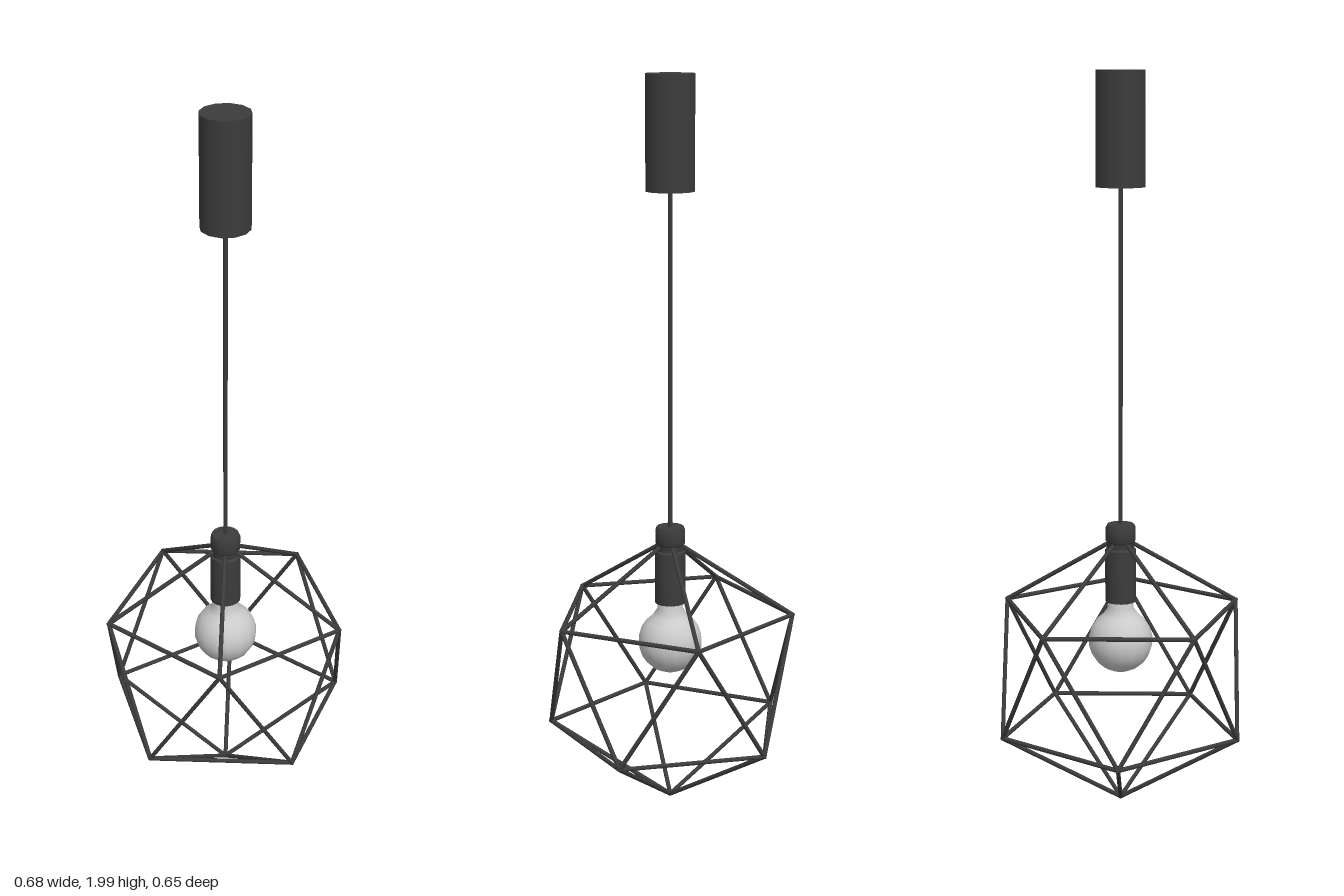
import * as THREE from 'three';
import { toCreasedNormals } from 'three/addons/utils/BufferGeometryUtils.js';

export function createModel() {
  const root = new THREE.Group();
  root.name = 'pendantLamp';
  const black = new THREE.MeshStandardMaterial({ color: 0x3c3c3c });
  const grey = new THREE.MeshStandardMaterial({ color: 0xcccccc });

  const add = (parent, name, geometry, material) => {
    const mesh = new THREE.Mesh(geometry, material);
    mesh.name = name;
    parent.add(mesh);
    return mesh;
  };
  const lathe = (points, sides) => toCreasedNormals(
    new THREE.LatheGeometry(points.map(([r, y]) => new THREE.Vector2(r, y)), sides), 0.7);

  // Ceiling canopy
  add(root, 'canopy', new THREE.CylinderGeometry(0.066, 0.066, 0.3, 12), black).position.y = 1.85;

  // Hanging cable
  add(root, 'cable', new THREE.CylinderGeometry(0.006, 0.006, 1.22, 8), black).position.y = 1.39;

  // Lamp socket with a groove below its cap
  add(root, 'socket', lathe([
    [0, 0.58], [0.042, 0.58], [0.042, 0.725], [0.037, 0.73], [0.037, 0.745],
    [0.041, 0.75], [0.041, 0.785], [0.037, 0.795], [0, 0.795],
  ], 16), black);

  // Globe bulb: round bottom, neck running up into the socket
  const bulbProfile = [];
  for (let i = 0; i <= 9; i++) {
    const a = (i / 9) * 2.55;
    bulbProfile.push([0.088 * Math.sin(a), 0.468 - 0.088 * Math.cos(a)]);
  }
  bulbProfile.push([0.036, 0.56], [0.033, 0.6]);
  const bulb = new THREE.LatheGeometry(
    bulbProfile.map(([r, y]) => new THREE.Vector2(r, y)), 16);
  add(root, 'bulb', bulb, grey);

  // Cage corners: two apexes and two opposed five-point rings
  const cage = new THREE.Group();
  cage.name = 'cage';
  root.add(cage);
  const ring = (y, turn) => Array.from({ length: 5 }, (_, i) => {
    const a = turn + (i * Math.PI * 2) / 5;
    return new THREE.Vector3(0.335 * Math.cos(a), y, 0.335 * Math.sin(a));
  });
  const upper = ring(0.554, 0);
  const lower = ring(0.219, Math.PI / 5);
  const top = new THREE.Vector3(0, 0.761, 0);
  const bottom = new THREE.Vector3(0, 0.012, 0);

  // Straight rod between two corners
  const up = new THREE.Vector3(0, 1, 0);
  const strut = (name, a, b) => {
    const dir = b.clone().sub(a);
    const rod = add(cage, name, new THREE.CylinderGeometry(0.006, 0.006, dir.length() + 0.006, 8), black);
    rod.position.copy(a).add(b).multiplyScalar(0.5);
    rod.quaternion.setFromUnitVectors(up, dir.normalize());
  };
  for (let i = 0; i < 5; i++) {
    const next = (i + 1) % 5;
    strut('topStrut', top, upper[i]);
    strut('upperRingStrut', upper[i], upper[next]);
    strut('sideStrut', upper[i], lower[i]);
    strut('sideStrut', lower[i], upper[next]);
    strut('lowerRingStrut', lower[i], lower[next]);
    strut('bottomStrut', bottom, lower[i]);
  }
  return root;
}
